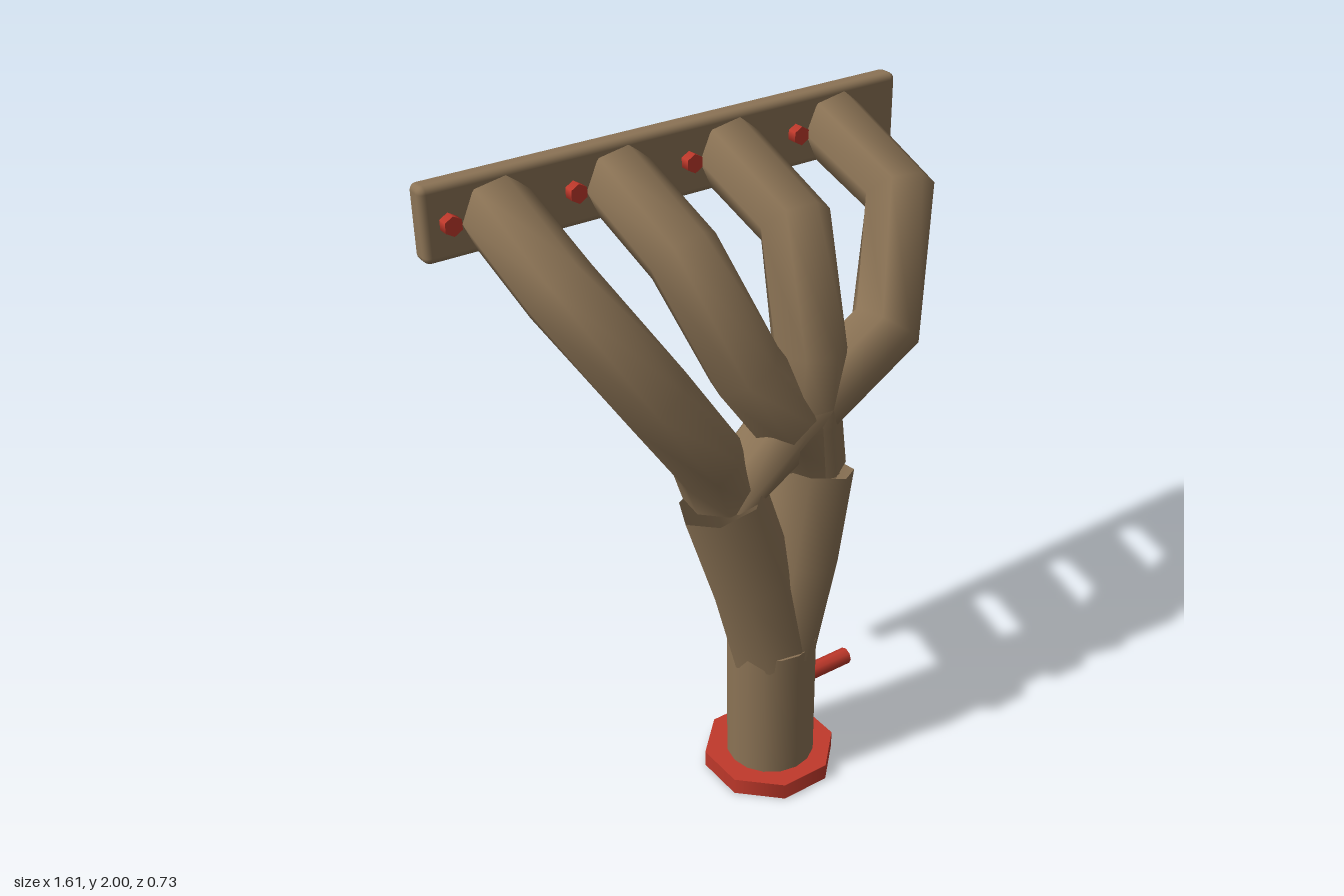
import * as THREE from 'three';
import { RoundedBoxGeometry } from 'three/addons/geometries/RoundedBoxGeometry.js';

// Open faceted pipe swept through a few points, with smooth normals
function pipeGeometry(points, radius, sides, endDown) {
  const pts = points.map(p => new THREE.Vector3(...p));
  const last = pts.length - 1;
  const pos = [], index = [];
  const normal = new THREE.Vector3(-1, 0, 0);
  pts.forEach((p, i) => {
    const t = new THREE.Vector3();
    if (i > 0) t.add(p.clone().sub(pts[i - 1]).normalize());
    if (i < last) t.add(pts[i + 1].clone().sub(p).normalize());
    if (i === last && endDown) t.set(0, -1, 0);
    t.normalize();
    normal.addScaledVector(t, -normal.dot(t)).normalize();
    const side = new THREE.Vector3().crossVectors(t, normal);
    for (let j = 0; j < sides; j++) {
      const a = (j / sides) * Math.PI * 2;
      const v = p.clone().addScaledVector(normal, radius * Math.cos(a)).addScaledVector(side, radius * Math.sin(a));
      pos.push(v.x, v.y, v.z);
    }
  });
  for (let i = 0; i < last; i++) {
    for (let j = 0; j < sides; j++) {
      const k = (j + 1) % sides;
      const a = i * sides + j, b = i * sides + k, c = a + sides, d = b + sides;
      index.push(a, b, c, b, d, c);
    }
  }
  const g = new THREE.BufferGeometry();
  g.setAttribute('position', new THREE.Float32BufferAttribute(pos, 3));
  g.setIndex(index);
  g.computeVertexNormals();
  return g;
}

export function createModel() {
  const group = new THREE.Group();
  const metal = new THREE.MeshStandardMaterial({ color: 0x8b7355, side: THREE.DoubleSide });
  metal.name = 'tanMetal';
  const red = new THREE.MeshStandardMaterial({ color: 0xc0392b });
  red.name = 'redFittings';

  const add = (name, geometry, material, x = 0, y = 0, z = 0) => {
    const m = new THREE.Mesh(geometry, material);
    m.name = name;
    m.position.set(x, y, z);
    group.add(m);
    return m;
  };

  // Long mounting plate at the top rear
  add('headFlange', new RoundedBoxGeometry(1.61, 0.22, 0.07, 2, 0.02), metal, 0, 1.89, -0.33);

  // Four primary pipes: x at the plate, lower bends, and outlet; outer and inner pairs merge
  const primaries = [
    [-0.58, [-0.40, 1.465], [-0.21, 1.19], -0.16],
    [-0.195, [-0.10, 1.46], [0.09, 1.20], 0.155],
    [0.185, [0.125, 1.45], [0.135, 1.22], 0.165],
    [0.57, [0.405, 1.445], [0.07, 1.22], -0.14],
  ];
  primaries.forEach(([x, bend, low, end], i) => {
    const path = [
      [x, 1.885, -0.32],
      [x, 1.77, 0.01],
      [bend[0], bend[1], 0.17],
      [low[0], low[1], 0.145],
      [end, 1.04, 0.135],
    ];
    add('primaryPipe' + (i + 1), pipeGeometry(path, 0.11, 7, true), metal);
  });

  // Two secondary pipes joining the collector
  for (const s of [-1, 1]) {
    const path = [[s * 0.163, 1.04, 0.145], [s * 0.085, 0.76, 0.178], [s * 0.01, 0.47, 0.18]];
    add(s < 0 ? 'rightSecondaryPipe' : 'leftSecondaryPipe', pipeGeometry(path, 0.135, 7, false), metal);
  }

  // Collector and outlet flange
  add('collector', new THREE.CylinderGeometry(0.14, 0.14, 0.46, 16), metal, 0, 0.27, 0.175);
  const outlet = new THREE.CylinderGeometry(0.211, 0.211, 0.055, 8);
  outlet.rotateY(Math.PI / 8);
  add('outletFlange', outlet, red, 0, 0.0275, 0.17);

  // Sensor stub on the collector side
  const sensor = new THREE.CylinderGeometry(0.027, 0.027, 0.18, 8);
  sensor.rotateZ(Math.PI / 2);
  add('sensor', sensor, red, 0.215, 0.275, 0.175);

  // Hexagonal bolts on the plate
  const bolt = new THREE.CylinderGeometry(0.029, 0.029, 0.05, 6);
  bolt.rotateX(Math.PI / 2);
  [-0.73, -0.347, 0.037, 0.42].forEach((x, i) => add('bolt' + (i + 1), bolt, red, x, 1.89, -0.288));

  return group;
}
